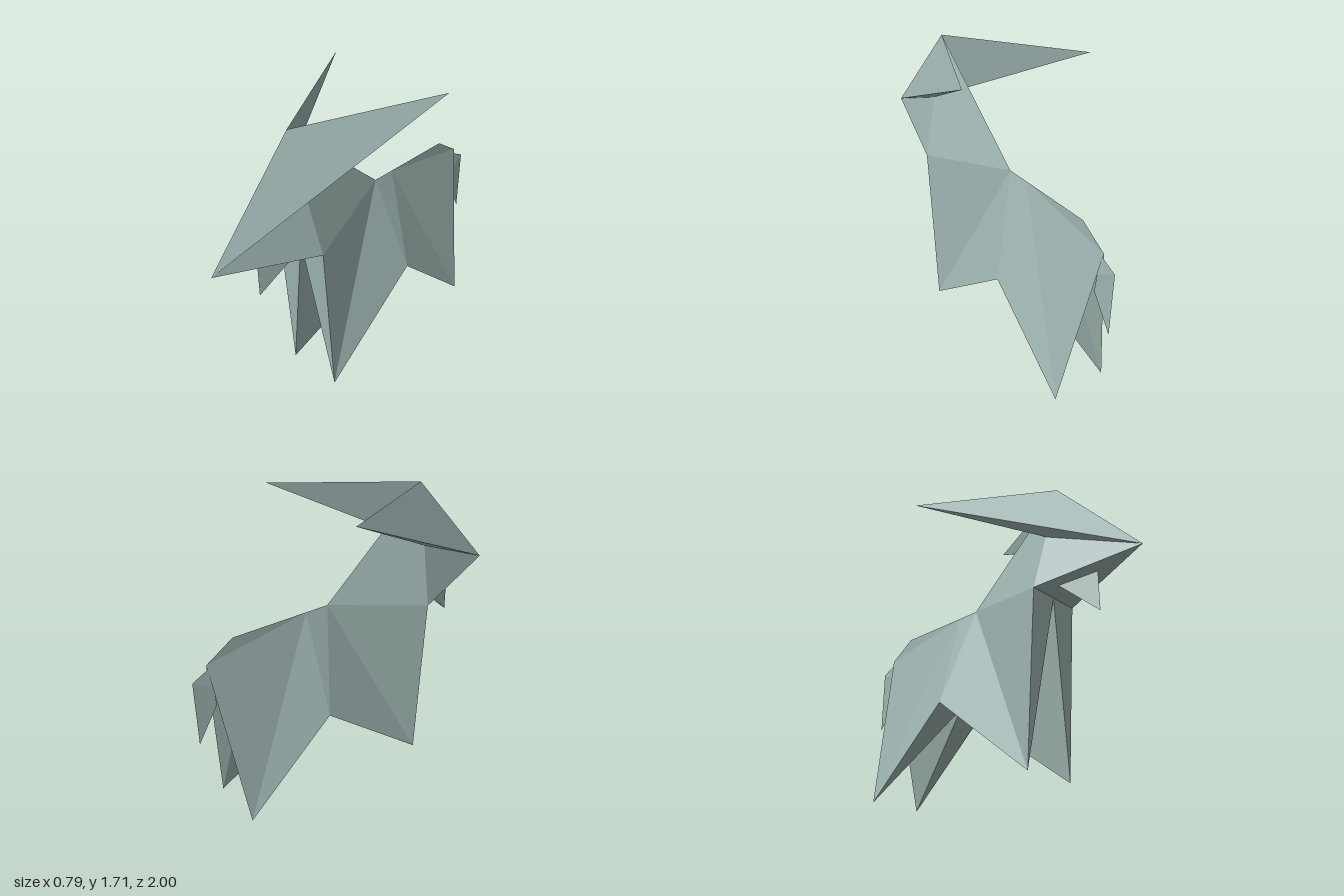
import * as THREE from 'three';

const CX = 0.018; // fold plane of the paper

const material = new THREE.MeshStandardMaterial({
  color: 0x9fb5b2, flatShading: true, side: THREE.DoubleSide,
});

// Crease points; x is the distance from the fold plane on the side being built.
const W = 0.167;
const P = {
  crown: [0, 1.665, 0.475],
  snout: [0, 1.08, 1.0],
  nape: [0, 1.1, -0.17],
  back: [0, 1.1, -0.31],
  rump: [0, 1.1, -0.755],
  tailRoot: [0, 0.995, -0.915],
  cheek: [W, 0.98, 0.42],
  throat: [0, 0.98, 0.42],
  frontFoot: [W, 0, 0.355],
  belly: [W, 0.51, -0.285],
  bellyFold: [0, 0.51, -0.285],
  hindFoot: [W, 0.03, -0.82],
  hindFold: [0, 0.67, -0.75],
  neckEdge: [0.084, 1.32, 0.447],
  beardTop: [0, 1.035, 0.72],
  beardTip: [0, 0.8, 0.72],
  beardBack: [0.07, 1.0, 0.505],
  tailTop: [0, 0.97, -0.905],
  tailCorner: [0, 0.92, -1.0],
  tailTip: [0, 0.54, -1.0],
  tailInner: [0.012, 0.865, -0.895],
  tailLow: [0.012, 0.75, -0.885],
};

// Each part is a list of paper facets, written as loops of crease points (left side).
const parts = {
  neck: ['crown cheek nape', 'crown snout cheek'],
  jaw: ['snout throat cheek'],
  horn: ['crown hornTip snout', 'snout hornTip neckEdge', 'crown neckEdge hornTip'],
  beard: ['beardTop beardTip beardBack'],
  flank: ['nape cheek frontFoot', 'nape frontFoot belly back',
    'back belly hindFoot tailRoot rump'],
  frontLeg: ['cheek throat frontFoot', 'throat bellyFold frontFoot', 'frontFoot bellyFold belly'],
  hindLeg: ['tailRoot hindFoot hindFold', 'hindFold hindFoot bellyFold', 'hindFoot belly bellyFold'],
  tail: ['tailTop tailInner tailCorner', 'tailCorner tailInner tailLow tailTip'],
};

function facets(list, points, side) {
  const pos = [];
  const put = (n) => pos.push(CX + side * points[n][0], points[n][1], points[n][2]);
  for (const loop of list) {
    const n = loop.split(' ');
    for (let i = 1; i < n.length - 1; i++) {
      const tri = [n[0], n[i], n[i + 1]];
      if (side < 0) tri.reverse();
      tri.forEach(put);
    }
  }
  const geo = new THREE.BufferGeometry();
  geo.setAttribute('position', new THREE.Float32BufferAttribute(pos, 3));
  geo.computeVertexNormals();
  return geo;
}

export function createModel() {
  const model = new THREE.Group();
  model.name = 'foldedPaperGoat';
  for (const [label, side] of [['left', 1], ['right', -1]]) {
    // The horns spread slightly unevenly about the fold
    const points = { ...P, hornTip: [side > 0 ? 0.374 : 0.412, 1.712, -0.288] };
    for (const [name, list] of Object.entries(parts)) {
      const mesh = new THREE.Mesh(facets(list, points, side), material);
      mesh.name = label + name[0].toUpperCase() + name.slice(1);
      model.add(mesh);
    }
  }
  return model;
}
